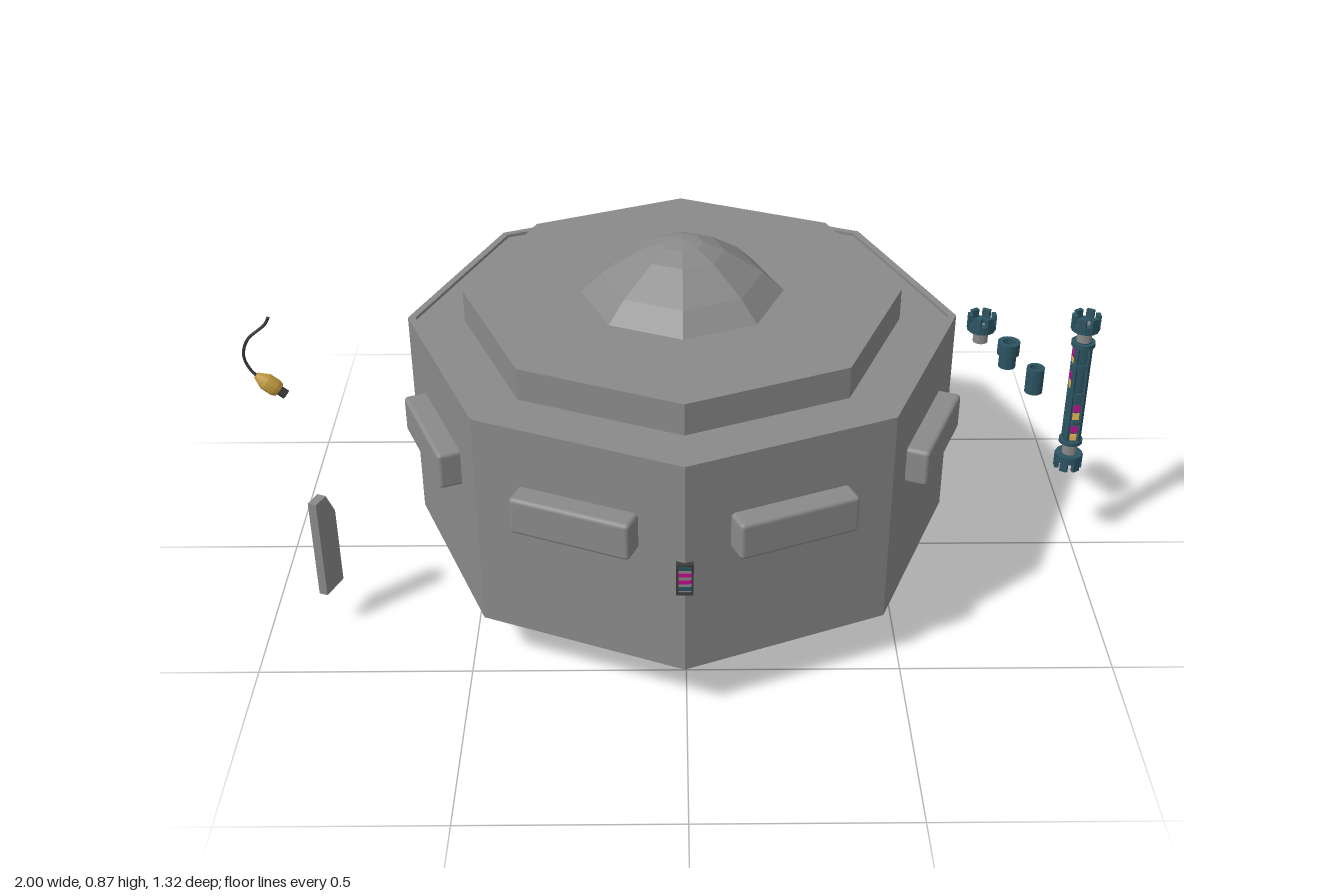
import * as THREE from 'three';
import { toCreasedNormals } from 'three/addons/utils/BufferGeometryUtils.js';
import { RoundedBoxGeometry } from 'three/addons/geometries/RoundedBoxGeometry.js';

const paint = (name, hex) => {
  const m = new THREE.MeshStandardMaterial({ color: hex });
  m.name = name;
  return m;
};
const grey = paint('grey', 0x8a8a8a);
const teal = paint('dark teal', 0x2c5462);
const magenta = paint('magenta', 0xc0108c);
const yellow = paint('yellow', 0xe8b850);
const gold = paint('gold', 0xc49c40);
const dark = paint('charcoal', 0x3c3c3c);

function add(parent, name, geo, mat, x = 0, y = 0, z = 0) {
  const m = new THREE.Mesh(geo, mat);
  m.name = name;
  m.position.set(x, y, z);
  parent.add(m);
  return m;
}
function group(parent, name, x = 0, y = 0, z = 0) {
  const g = new THREE.Group();
  g.name = name;
  g.position.set(x, y, z);
  parent.add(g);
  return g;
}
const lathe = (pts, sides, crease = 0.5) =>
  toCreasedNormals(new THREE.LatheGeometry(pts.map(p => new THREE.Vector2(p[0], p[1])), sides), crease);
// cylinder from y0 to y1
const cyl = (parent, name, mat, r, y0, y1, x = 0, z = 0, sides = 24) =>
  add(parent, name, new THREE.CylinderGeometry(r, r, y1 - y0, sides), mat, x, (y0 + y1) / 2, z);
// open-ended tube wall
const tube = (parent, name, mat, ro, ri, y0, y1) =>
  add(parent, name, lathe([[ri, y0], [ro, y0], [ro, y1], [ri, y1], [ri, y0]], 16), mat);

// upright fin with its upper inner corner cut; its width runs along x
function finGeometry() {
  const s = new THREE.Shape();
  s.moveTo(-0.036, 0.1);
  s.lineTo(0.036, 0.1);
  s.lineTo(0.036, 0.36);
  s.lineTo(-0.006, 0.36);
  s.lineTo(-0.036, 0.3);
  s.closePath();
  return new THREE.ExtrudeGeometry(s, { depth: 0.022, bevelEnabled: false }).translate(0, 0, -0.011);
}

// crown of prongs; dir +1 points up, -1 points down
function prongCap(parent, y, dir) {
  const g = group(parent, 'prongCap', 0, y, 0);
  if (dir < 0) g.rotation.x = Math.PI;
  tube(g, 'capRing', teal, 0.033, 0.017, 0, 0.02);
  for (let i = 0; i < 6; i++) {
    const a = i * Math.PI / 3;
    const p = add(g, 'prong', new THREE.BoxGeometry(0.01, 0.04, 0.019), teal,
      Math.cos(a) * 0.0285, 0.021, Math.sin(a) * 0.0285);
    p.rotation.y = -a;
  }
  return g;
}

export function createModel() {
  const model = new THREE.Group();
  const hub = group(model, 'chamber', -0.005, 0, 0);

  // octagonal casing with a raised lip, stepped roof and faceted dome
  add(hub, 'casing', lathe([[0.46, 0.24], [0.635, 0.24], [0.635, 0.13], [0.655, 0.13], [0.655, 0.67],
    [0.637, 0.67], [0.637, 0.662], [0.52, 0.662], [0.52, 0.74], [0, 0.74]], 8, 0.1), grey);
  add(hub, 'dome', lathe([[0.24, 0.74], [0.19, 0.787], [0.1, 0.846], [0.05, 0.866], [0, 0.873]], 8, 0.05), grey);

  // round cavity with louvred wall and a stepped collar round its mouth
  const wall = [[0, 0.46], [0.41, 0.46]];
  for (let y = 0.45; y > 0.2; y -= 0.025) wall.push([0.43, y], [0.405, y - 0.019]);
  wall.push([0.435, 0.18], [0.435, 0.145], [0.455, 0.145], [0.455, 0.16], [0.475, 0.16],
    [0.475, 0.175], [0.495, 0.175], [0.495, 0.24]);
  add(hub, 'cavityWall', lathe(wall, 48), grey);

  // central column with flange and coloured band
  cyl(hub, 'column', grey, 0.112, 0, 0.2, 0, 0, 40);
  cyl(hub, 'columnFlange', grey, 0.142, 0.195, 0.215, 0, 0, 40);
  cyl(hub, 'columnCore', grey, 0.105, 0.2, 0.46, 0, 0, 32);
  cyl(hub, 'columnBand', magenta, 0.12, 0.3, 0.325, 0, 0, 32);
  cyl(hub, 'columnCollar', grey, 0.135, 0.335, 0.46, 0, 0, 32);

  // sixteen radial fins, one of them lying outside
  const fin = finGeometry();
  for (let i = 0; i < 16; i++) {
    if (i === 5) continue;
    const a = i * Math.PI / 8;
    const f = add(hub, 'fin', fin, grey, Math.cos(a) * 0.324, 0, Math.sin(a) * 0.324);
    f.rotation.y = -a;
  }
  const loose = add(model, 'looseFin', fin, grey, -0.852, 0, 0.3);
  loose.rotation.y = -5 * Math.PI / 8;
  add(hub, 'finRing', lathe([[0.29, 0.355], [0.38, 0.355], [0.38, 0.375], [0.29, 0.375], [0.29, 0.355]], 40), grey);

  // offset canister under the casing
  cyl(hub, 'canister', grey, 0.046, 0.055, 0.26, -0.43, -0.295);

  // rounded housings on six of the eight walls
  for (const k of [-1.5, -0.5, 0.5, 1.5, 3.5, 4.5]) {
    const a = k * Math.PI / 4;
    const h = add(hub, 'wallHousing', new RoundedBoxGeometry(0.285, 0.092, 0.09, 2, 0.01), grey,
      Math.sin(a) * 0.613, 0.478, Math.cos(a) * 0.613);
    h.rotation.y = a;
  }

  // socket on the front corner, its stripes set between side bars
  const socket = group(hub, 'socket', 0, 0.383, 0.65);
  add(socket, 'socketBody', new THREE.BoxGeometry(0.034, 0.076, 0.012), grey);
  for (const y of [-0.027, -0.009, 0.009, 0.027])
    add(socket, 'socketStripe', new THREE.BoxGeometry(0.028, 0.01, 0.002), Math.abs(y) < 0.02 ? magenta : teal, 0, y, 0.006);
  for (const s of [-1, 1]) {
    add(socket, 'socketEdge', new THREE.BoxGeometry(0.038, 0.005, 0.022), dark, 0, s * 0.038, 0.001);
    add(socket, 'socketSide', new THREE.BoxGeometry(0.005, 0.076, 0.022), dark, s * 0.0165, 0, 0.001);
  }

  // assembled rod
  const rod = group(model, 'rod', 0.964, 0, 0);
  prongCap(rod, 0.63, 1);
  prongCap(rod, 0.28, -1);
  tube(rod, 'upperNeck', grey, 0.018, 0.01, 0.595, 0.645);
  tube(rod, 'lowerNeck', grey, 0.018, 0.01, 0.265, 0.32);
  tube(rod, 'rodTube', teal, 0.02, 0.01, 0.31, 0.6);
  for (const y of [0.312, 0.372, 0.45, 0.53, 0.588])
    tube(rod, 'rodCollar', teal, y > 0.55 || y < 0.35 ? 0.029 : 0.024, 0.018, y, y + 0.01);
  for (let i = 0; i < 4; i++) {
    const a = (i + 0.5) * Math.PI / 2;
    const b = add(rod, 'rodRail', new THREE.BoxGeometry(0.008, 0.27, 0.01), teal,
      Math.cos(a) * 0.021, 0.455, Math.sin(a) * 0.021);
    b.rotation.y = -a;
  }
  // paired magenta and yellow windows, high on the right and left, low on the front and back
  for (let side = 0; side < 4; side++) {
    const a = side * Math.PI / 2;
    for (const y of side % 2 ? [0.418, 0.358] : [0.565, 0.502]) {
      [magenta, yellow].forEach((mat, j) => {
        const w = add(rod, 'rodWindow', new THREE.BoxGeometry(0.005, 0.018, 0.016), mat,
          Math.cos(a) * 0.019, y - j * 0.022, Math.sin(a) * 0.019);
        w.rotation.y = -a;
      });
    }
  }

  // separate rod pieces set out in a row
  const cap = group(model, 'looseCap', 0.713, 0, 0);
  prongCap(cap, 0.632, 1);
  tube(cap, 'looseCapNeck', grey, 0.018, 0.01, 0.6, 0.64);
  const coupler = group(model, 'looseCoupler', 0.784, 0, 0);
  tube(coupler, 'couplerHead', teal, 0.027, 0.015, 0.565, 0.597);
  tube(coupler, 'couplerStem', teal, 0.021, 0.013, 0.53, 0.57);
  const sleeve = group(model, 'looseSleeve', 0.856, 0, 0);
  tube(sleeve, 'sleeveTube', teal, 0.022, 0.014, 0.458, 0.525);
  add(sleeve, 'sleeveWindow', new THREE.BoxGeometry(0.016, 0.022, 0.005), yellow, 0, 0.492, -0.0205);

  // plug with a curled lead
  const lead = group(model, 'lead', 0, 0, 0.25);
  const path = new THREE.CatmullRomCurve3([[-0.927, 0.81], [-0.938, 0.79], [-0.982, 0.75], [-0.995, 0.71],
    [-0.985, 0.675], [-0.965, 0.65]].map(p => new THREE.Vector3(p[0], p[1], 0)));
  add(lead, 'cable', new THREE.TubeGeometry(path, 32, 0.0035, 8), dark);
  const plug = group(lead, 'plug', -0.946, 0.636, 0);
  plug.rotation.z = Math.PI * 0.28;
  add(plug, 'plugBody', lathe([[0, -0.026], [0.016, -0.026], [0.02, -0.016], [0.02, 0.01],
    [0.012, 0.026], [0.007, 0.036], [0, 0.036]], 16), gold);
  cyl(plug, 'plugTip', dark, 0.011, -0.045, -0.025, 0, 0, 12);
  return model;
}
